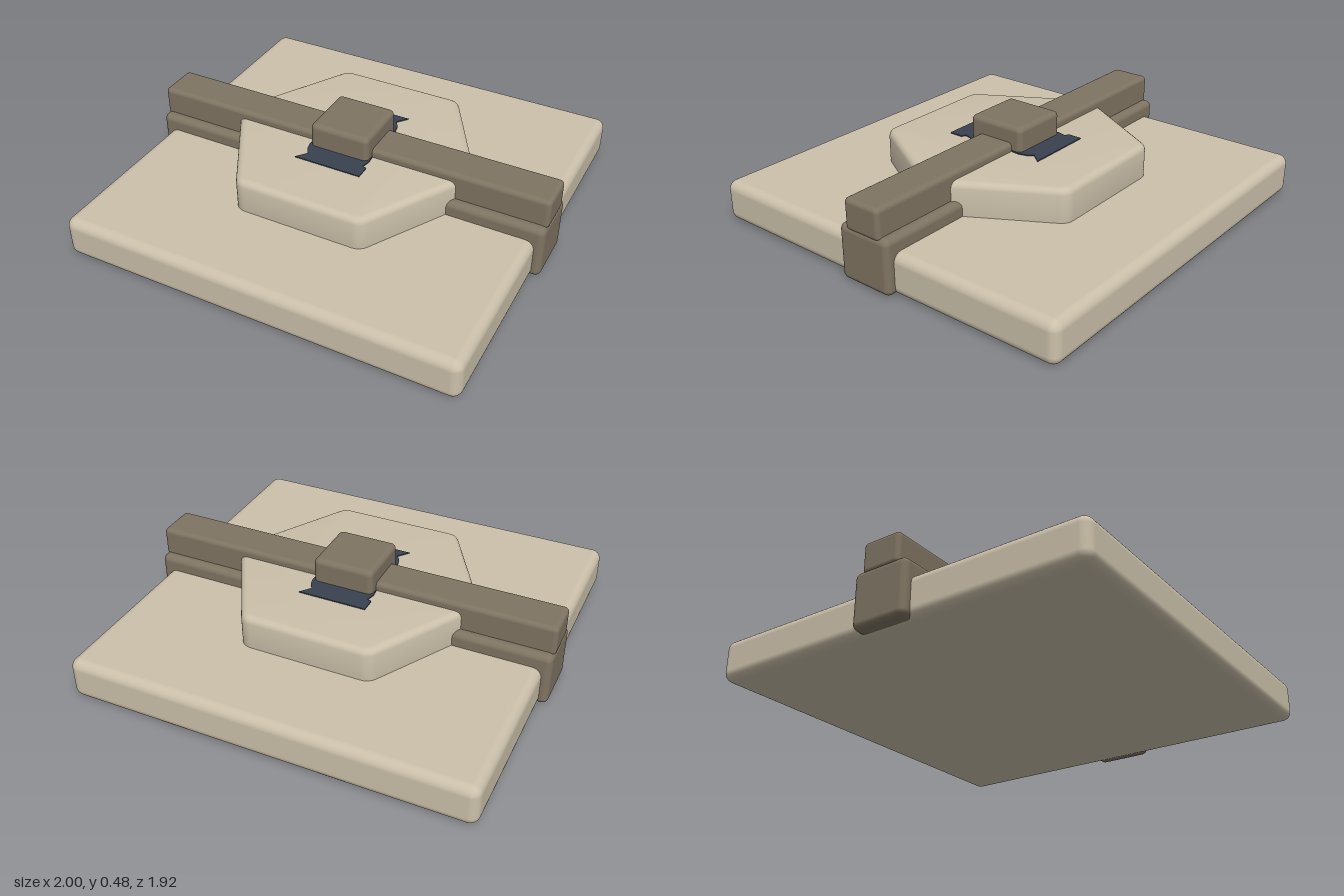
import * as THREE from 'three';
import { RoundedBoxGeometry } from 'three/addons/geometries/RoundedBoxGeometry.js';
import { toCreasedNormals } from 'three/addons/utils/BufferGeometryUtils.js';

const material = (name, color) => {
  const m = new THREE.MeshStandardMaterial({ color });
  m.name = name;
  return m;
};

export function createModel() {
  const group = new THREE.Group();
  const stone = material('pale stone', 0xcbc0aa);
  const strap = material('brown strap', 0x7f7462);
  const inlayDark = material('dark slate', 0x38414e);

  const add = (name, geometry, mat) => {
    const mesh = new THREE.Mesh(geometry, mat);
    mesh.name = name;
    group.add(mesh);
    return mesh;
  };

  // Rounded block centred on x and z, spanning y0..y1
  const block = (name, w, d, y0, y1, r, mat) => {
    add(name, new RoundedBoxGeometry(w, y1 - y0, d, 4, r), mat).position.y = (y0 + y1) / 2;
  };

  block('baseSlab', 1.92, 1.92, 0, 0.2, 0.045, stone);
  block('lowerBar', 2, 0.28, 0.005, 0.27, 0.03, strap);
  block('upperBar', 2, 0.195, 0.25, 0.4, 0.022, strap);
  block('centreClasp', 0.295, 0.295, 0.28, 0.48, 0.025, strap);

  // Hexagonal plate with rounded corners and a soft bevelled rim
  const bevel = 0.03, radius = 0.62 - bevel / Math.cos(Math.PI / 6);
  const corner = i => new THREE.Vector2(Math.cos(i * Math.PI / 3), Math.sin(i * Math.PI / 3)).multiplyScalar(radius);
  const hex = new THREE.Shape();
  for (let i = 0; i < 6; i++) {
    const c = corner(i);
    const a = c.clone().lerp(corner(i + 5), 0.04);
    const b = c.clone().lerp(corner(i + 1), 0.04);
    if (i === 0) hex.moveTo(a.x, a.y); else hex.lineTo(a.x, a.y);
    hex.quadraticCurveTo(c.x, c.y, b.x, b.y);
  }
  hex.closePath();
  const plate = new THREE.ExtrudeGeometry(hex, {
    depth: 0.15, bevelThickness: bevel, bevelSize: bevel, bevelSegments: 4, curveSegments: 5,
  });
  plate.rotateX(-Math.PI / 2).translate(0, 0.36 - bevel - 0.15, 0);
  add('hexPlate', toCreasedNormals(plate, 0.6), stone);

  // Thin notched inlay under the clasp, the same after a half turn
  const half = [
    [-0.165, 0.26], [0.165, 0.26], [0.125, 0.21], [0.145, 0.18], [0.155, 0.14],
    [0.14, 0], [0.155, -0.14], [0.145, -0.185], [0.165, -0.19],
  ];
  const outline = [...half, ...half.map(([x, y]) => [-x, -y])];
  const inlay = new THREE.ExtrudeGeometry(
    new THREE.Shape(outline.map(([x, y]) => new THREE.Vector2(x, y))),
    { depth: 0.008, bevelEnabled: false });
  inlay.rotateX(-Math.PI / 2).translate(0, 0.357, 0);
  add('inlay', inlay, inlayDark);

  return group;
}
